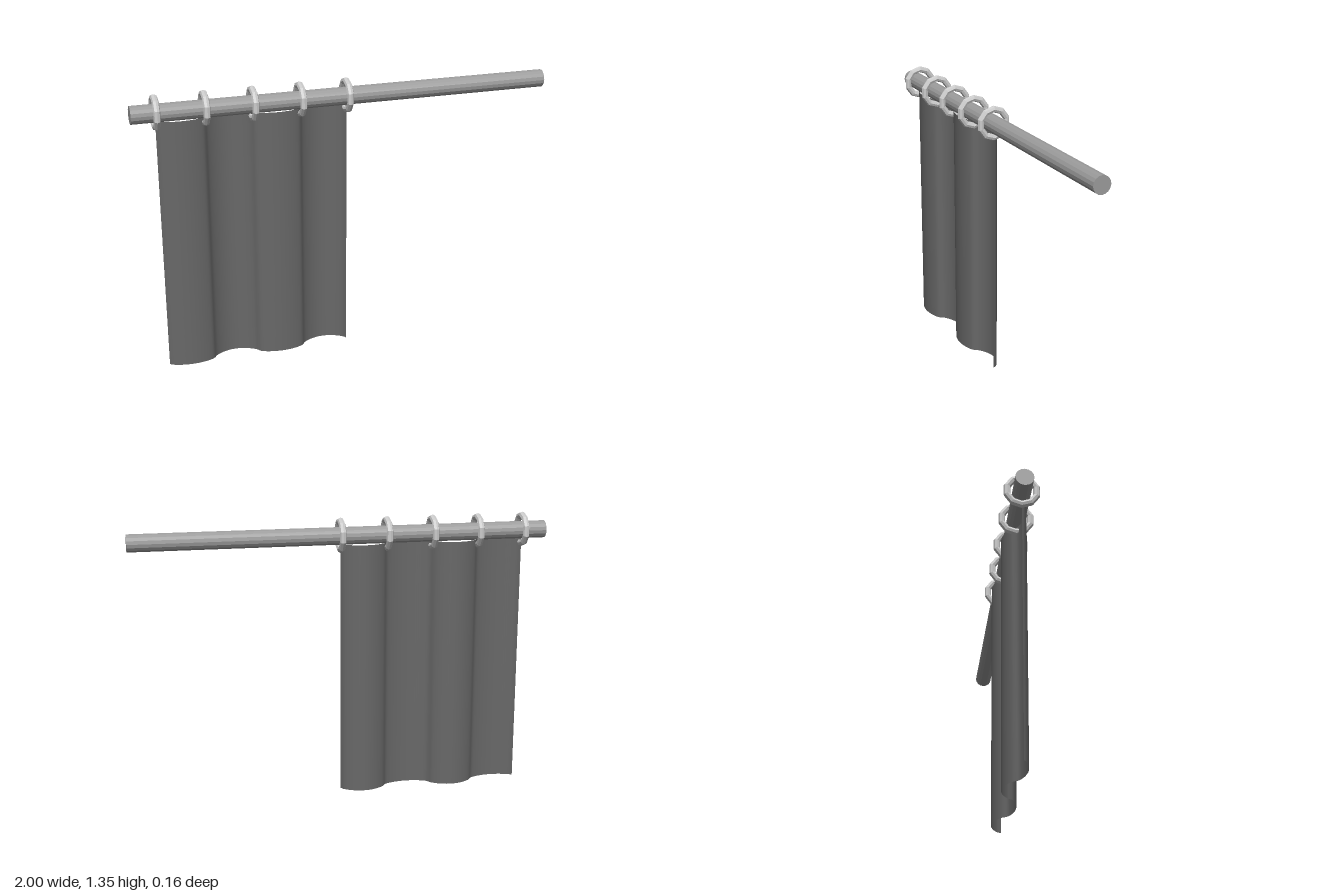
import * as THREE from 'three';

const ROD_Y = 1.267;
const LEFT = -0.888, RIGHT = 0.006; // curtain extent along the rod
const RINGS = 5;

function addMesh(parent, name, geometry, options) {
  const mesh = new THREE.Mesh(geometry, new THREE.MeshStandardMaterial(options));
  mesh.name = name;
  parent.add(mesh);
  return mesh;
}

// Hanging cloth: a plane folded into alternating front and back bulges, steep at each ring
function curtainGeometry(bottom, top) {
  const width = RIGHT - LEFT;
  const geo = new THREE.PlaneGeometry(width, top - bottom, 96, 1);
  geo.translate((LEFT + RIGHT) / 2, (top + bottom) / 2, 0);
  const pos = geo.attributes.position;
  for (let i = 0; i < pos.count; i++) {
    const wave = Math.sin(((pos.getX(i) - LEFT) / width) * Math.PI * (RINGS - 1));
    const depth = wave > 0 ? 0.032 : 0.056;
    pos.setZ(i, Math.sign(wave) * depth * Math.abs(wave) ** 0.65);
  }
  geo.computeVertexNormals();
  return geo;
}

export function createModel() {
  const model = new THREE.Group();
  model.name = 'curtainOnRod';

  // Rod along x
  const rodGeo = new THREE.CylinderGeometry(0.042, 0.042, 2, 16);
  const rod = addMesh(model, 'rod', rodGeo, { color: 0x9c9c9c, flatShading: true });
  rod.rotation.z = Math.PI / 2;
  rod.position.y = ROD_Y;

  // Rings around the rod, a corner at the top
  const ringGeo = new THREE.TorusGeometry(0.068, 0.016, 8, 10);
  ringGeo.rotateZ(Math.PI / 2).rotateY(Math.PI / 2);
  for (let i = 0; i < RINGS; i++) {
    const ring = addMesh(model, 'ring' + (i + 1), ringGeo, { color: 0xe6e6e6, flatShading: true });
    ring.position.set(THREE.MathUtils.lerp(LEFT, RIGHT, i / (RINGS - 1)), ROD_Y + 0.003, 0);
  }

  // Curtain hanging from the rings
  addMesh(model, 'curtain', curtainGeometry(0, 1.228), { color: 0x686868, side: THREE.DoubleSide });

  return model;
}
